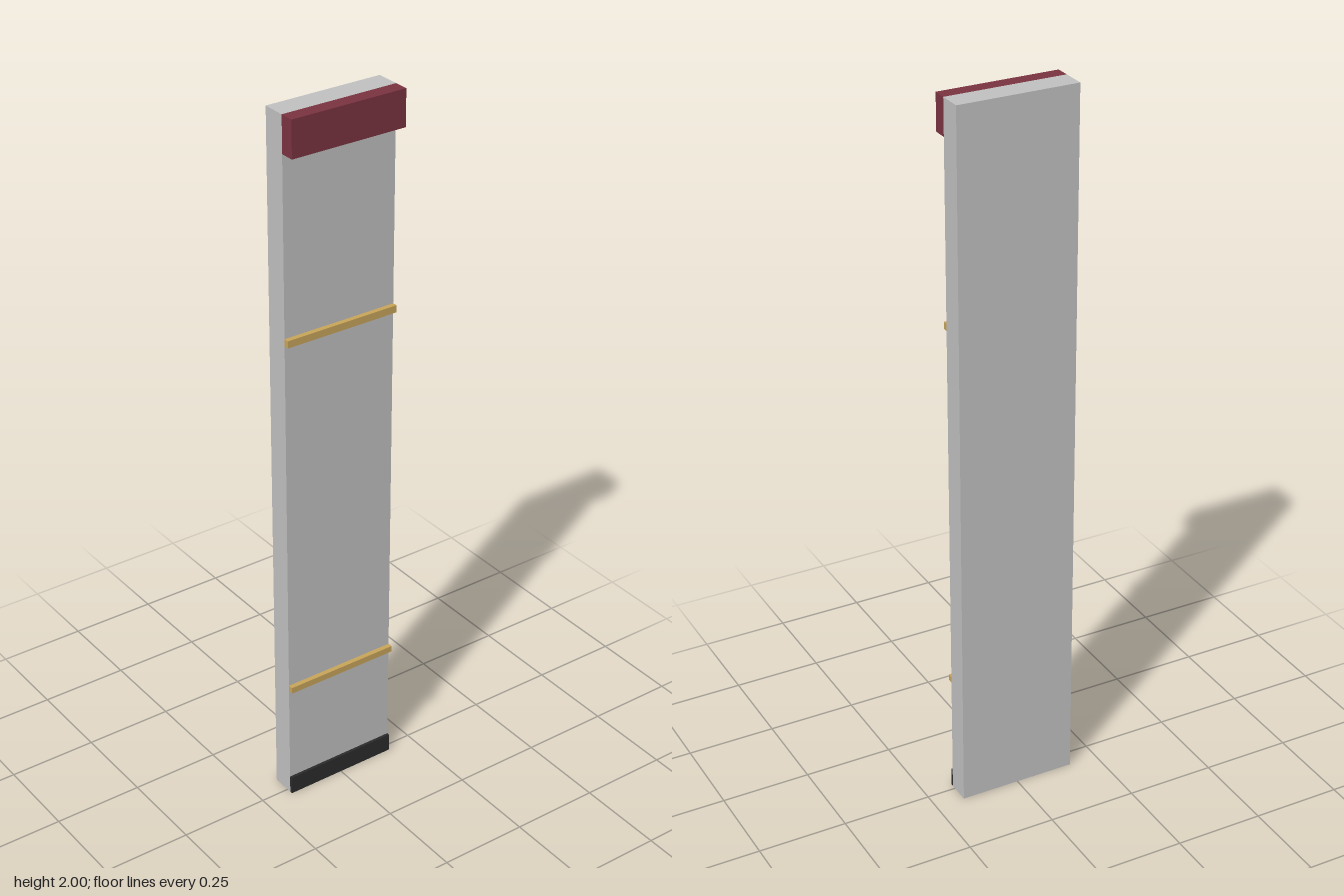
import * as THREE from 'three';

const material = (name, color) => {
  const m = new THREE.MeshStandardMaterial({ color });
  m.name = name;
  return m;
};

export function createModel() {
  const group = new THREE.Group();
  group.name = 'wallPanel';

  const plaster = material('light grey plaster', 0xc0c0c0);
  const maroon = material('maroon', 0x7a3340);
  const gold = material('gold', 0xc8a45a);
  const black = material('black', 0x2b2b2b);

  const depth = 0.334;
  const face = 0.013; // x of the decorated wall face

  // Box spanning the full depth, given by its x and y limits
  const addStrip = (name, mat, x0, x1, y0, y1) => {
    const mesh = new THREE.Mesh(new THREE.BoxGeometry(x1 - x0, y1 - y0, depth), mat);
    mesh.position.set((x0 + x1) / 2, (y0 + y1) / 2, 0);
    mesh.name = name;
    group.add(mesh);
  };

  addStrip('wallSlab', plaster, -0.053, face, 0, 2);
  addStrip('topValance', maroon, face, 0.053, 1.9, 2);
  addStrip('baseboard', black, face, 0.021, 0, 0.053);

  // Two slim mouldings
  addStrip('upperRail', gold, face, 0.027, 1.39, 1.41);
  addStrip('lowerRail', gold, face, 0.027, 0.343, 0.361);

  return group;
}
